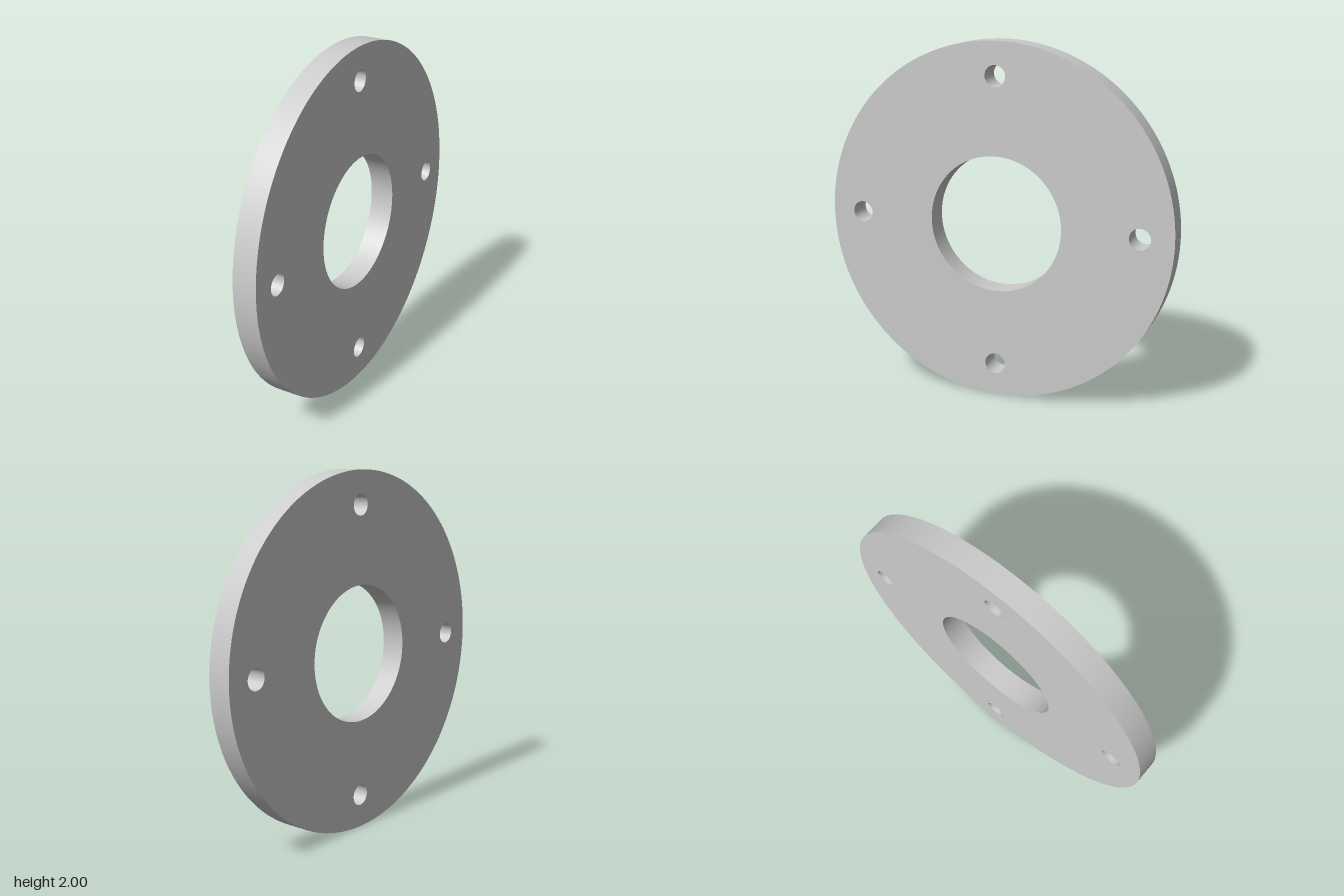
import * as THREE from 'three';
import { toCreasedNormals } from 'three/addons/utils/BufferGeometryUtils.js';

const RADIUS = 1;
const THICKNESS = 0.136;
const BORE_RADIUS = 0.381;
const BOLT_CIRCLE = 0.814;
const BOLT_RADIUS = 0.059;
const BOLTS = 4;

function circle(Type, x, y, r) {
  const path = new Type();
  path.absarc(x, y, r, 0, Math.PI * 2, false);
  return path;
}

export function createModel() {
  const group = new THREE.Group();
  group.name = 'flange';

  // Disc outline with the central bore
  const outline = circle(THREE.Shape, 0, 0, RADIUS);
  outline.holes.push(circle(THREE.Path, 0, 0, BORE_RADIUS));

  // Bolt holes evenly spaced around the bolt circle
  for (let i = 0; i < BOLTS; i++) {
    const a = (i / BOLTS) * Math.PI * 2;
    outline.holes.push(
      circle(THREE.Path, BOLT_CIRCLE * Math.cos(a), BOLT_CIRCLE * Math.sin(a), BOLT_RADIUS)
    );
  }

  // Plate, turned so its axis runs along x and it stands on its rim
  const extruded = new THREE.ExtrudeGeometry(outline, {
    depth: THICKNESS,
    bevelEnabled: false,
    curveSegments: 96,
  });
  extruded.translate(0, 0, -THICKNESS / 2);
  extruded.rotateY(Math.PI / 2);
  extruded.translate(0, RADIUS, 0);

  const plate = new THREE.Mesh(
    toCreasedNormals(extruded, Math.PI / 6),
    new THREE.MeshStandardMaterial({ color: 0xcccccc })
  );
  plate.name = 'flangePlate';
  group.add(plate);

  return group;
}
